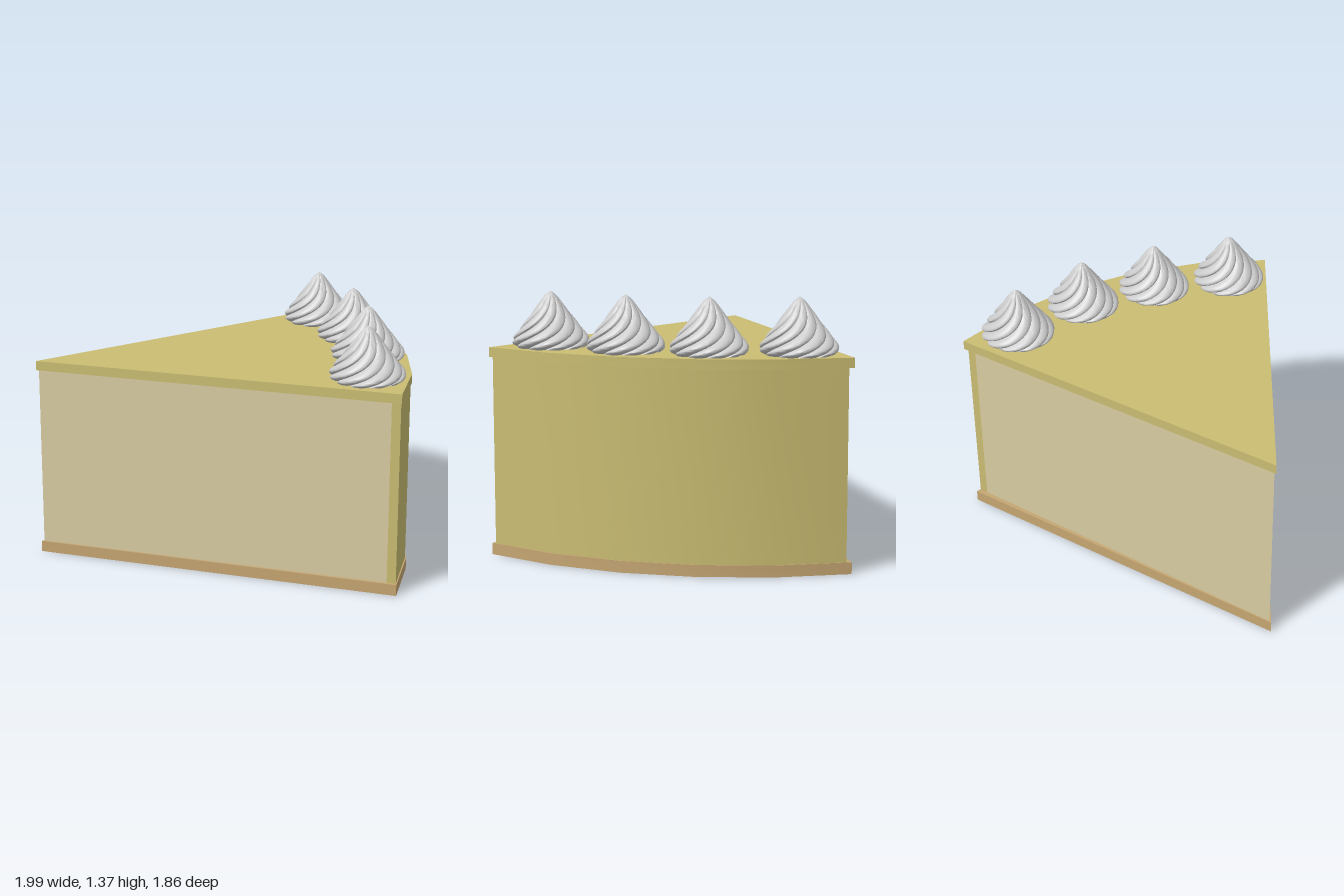
import * as THREE from 'three';
import { mergeVertices, toCreasedNormals } from 'three/addons/utils/BufferGeometryUtils.js';

const TIP_Z = -0.175;
const paint = (color) => new THREE.MeshStandardMaterial({ color });
const icing = paint(0xcabd72), sponge = paint(0xd9cca2), crust = paint(0xc6a673), cream = paint(0xcccccc);

// Five-segment arc around the tip of the slice, as [x, z] points
function arc(tipX, radius, from, to) {
  const pts = [];
  for (let i = 0; i <= 5; i++) {
    const a = THREE.MathUtils.degToRad(from + ((to - from) * i) / 5);
    pts.push([tipX + radius * Math.cos(a), TIP_Z + radius * Math.sin(a)]);
  }
  return pts;
}

// Upright prism over an [x, z] outline
function prism(name, outline, y0, y1, material) {
  const shape = new THREE.Shape(outline.map(([x, z]) => new THREE.Vector2(x, -z)));
  const geo = new THREE.ExtrudeGeometry(shape, { depth: y1 - y0, bevelEnabled: false });
  geo.rotateX(-Math.PI / 2).translate(0, y0, 0);
  const mesh = new THREE.Mesh(toCreasedNormals(geo, Math.PI / 6), material);
  mesh.name = name;
  return mesh;
}

// Piped swirl: a lathe whose lobes twist around as they rise
function swirlGeometry() {
  const profile = new THREE.CatmullRomCurve3([
    [0.165, 0], [0.185, 0.018], [0.186, 0.04], [0.165, 0.075], [0.135, 0.115],
    [0.098, 0.165], [0.06, 0.218], [0.025, 0.265], [0, 0.285],
  ].map(([r, y]) => new THREE.Vector3(r, y, 0)));
  const pts = profile.getPoints(28).map((p) => new THREE.Vector2(Math.max(p.x, 0), p.y));
  pts[pts.length - 1].x = 0;
  const geo = new THREE.LatheGeometry(pts, 80);
  const pos = geo.attributes.position;
  for (let i = 0; i < pos.count; i++) {
    const x = pos.getX(i), y = pos.getY(i), z = pos.getZ(i);
    const r = Math.hypot(x, z), t = y / 0.285;
    const a = Math.atan2(z, x) - 2.1 * (1 - (1 - t) ** 2);
    const lobe = Math.abs(Math.sin(Math.atan2(z, x) * 5));
    const k = r * (0.91 + 0.15 * Math.sqrt(lobe));
    pos.setXYZ(i, k * Math.cos(a), y, k * Math.sin(a));
  }
  geo.deleteAttribute('uv');
  geo.deleteAttribute('normal');
  return toCreasedNormals(mergeVertices(geo, 1e-5), Math.PI / 4);
}

export function createModel() {
  const group = new THREE.Group();
  group.name = 'cakeSlice';

  // Crust below and icing slab above share the full wedge outline
  const wedge = [[-1, TIP_Z], ...arc(-1, 1.988, 33.6, -22.4)];
  group.add(prism('crust', wedge, 0, 0.06, crust));
  group.add(prism('topIcing', wedge, 1.03, 1.08, icing));

  // Slightly smaller sponge with a coat of icing on the curved back
  const inner = arc(-0.985, 1.92, 33.3, -21.8);
  const outer = arc(-0.985, 1.968, 33.3, -21.8);
  group.add(prism('sponge', [[-0.985, TIP_Z], ...inner], 0.06, 1.03, sponge));
  group.add(prism('outerIcing', [...outer, ...inner.slice().reverse()], 0.06, 1.03, icing));

  // Row of cream swirls along the curved edge
  const swirl = swirlGeometry();
  [[0.73, -0.655], [0.787, -0.215], [0.725, 0.21], [0.58, 0.618]].forEach(([x, z], i) => {
    const mesh = new THREE.Mesh(swirl, cream);
    mesh.name = `creamSwirl${i + 1}`;
    mesh.position.set(x, 1.08, z);
    group.add(mesh);
  });
  return group;
}
